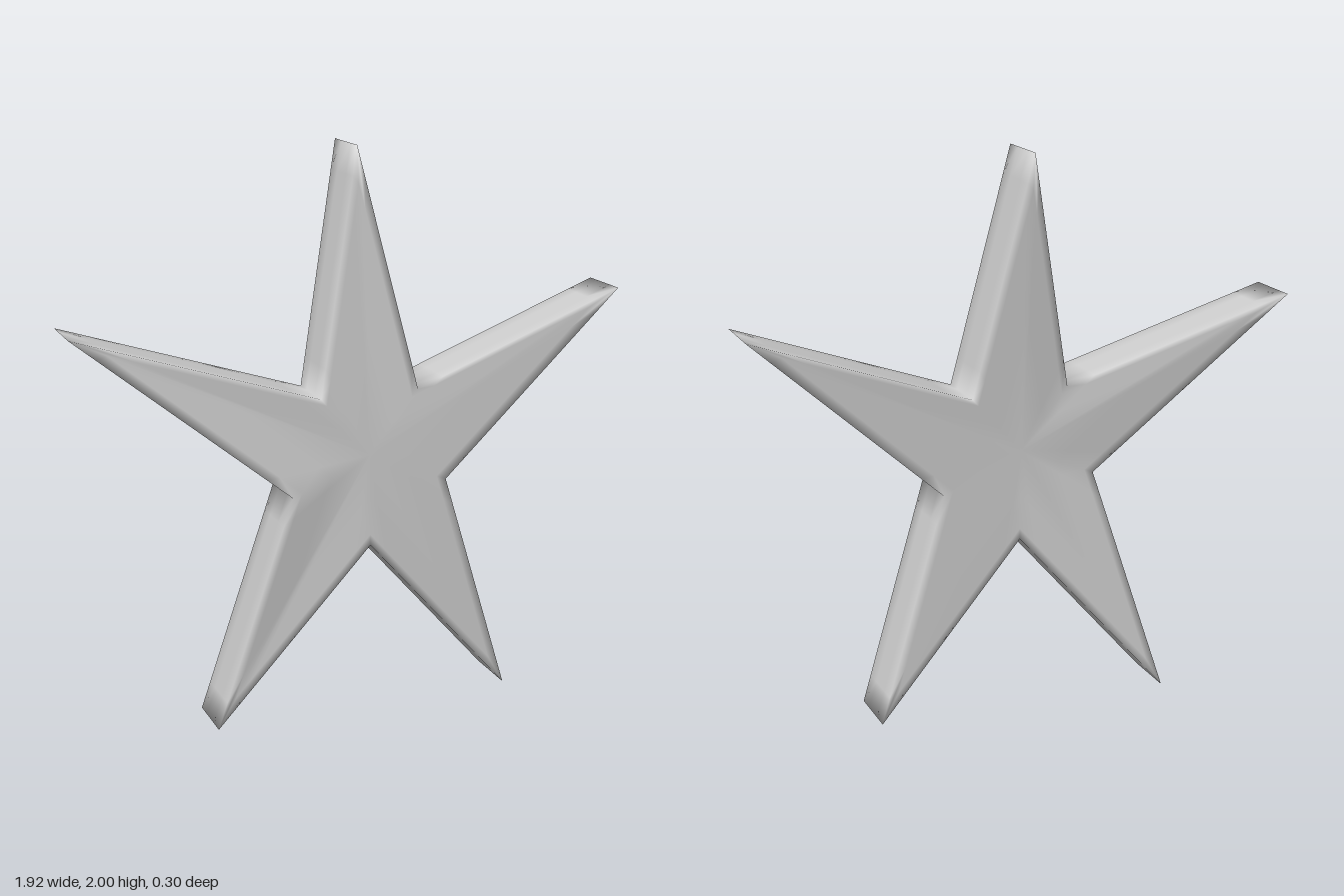
import * as THREE from 'three';

// Corners of the star, counterclockwise from the top tip: x, y, front z
const CORNERS = [
  [0.005, 2.0, 0.065], [-0.15, 1.18, 0.13],
  [-0.965, 1.435, 0.035], [-0.255, 0.85, 0.135],
  [-0.505, 0.005, 0.045], [0.025, 0.645, 0.14],
  [0.55, 0.04, 0.145], [0.305, 0.85, 0.145],
  [0.96, 1.468, 0.148], [0.2, 1.18, 0.135],
].map((p) => new THREE.Vector3(...p));
const CENTRE = new THREE.Vector3(0.02, 0.97, 0.14);
const DEPTH = 0.188;

// Rings from the front centre, around the rim, to the back centre:
// scale about the centre, and fraction of the depth
const RINGS = [
  [0.5, 0], [0.88, 0], [1, 0], [1, 0.3], [1, 0.7], [1, 1], [0.88, 1], [0.5, 1],
];

function starGeometry() {
  // Extra points along each edge keep the soft shading close to the corners
  const outline = CORNERS.flatMap((a, i) => {
    const b = CORNERS[(i + 1) % CORNERS.length];
    return [0, 0.12, 0.5, 0.88].map((t) => a.clone().lerp(b, t));
  });
  const n = outline.length;
  const positions = [];
  const index = [];
  for (const [scale, back] of RINGS) {
    for (const p of outline) {
      const v = CENTRE.clone().lerp(p, scale);
      positions.push(v.x, v.y, v.z - back * DEPTH);
    }
  }
  const front = RINGS.length * n;
  positions.push(CENTRE.x, CENTRE.y, CENTRE.z);
  positions.push(CENTRE.x, CENTRE.y, CENTRE.z - DEPTH);

  const last = (RINGS.length - 1) * n;
  for (let i = 0; i < n; i++) {
    const j = (i + 1) % n;
    index.push(front, i, j, front + 1, last + j, last + i);
    for (let r = 0; r < last; r += n) {
      index.push(r + i, r + n + i, r + n + j, r + i, r + n + j, r + j);
    }
  }
  const geometry = new THREE.BufferGeometry();
  geometry.setAttribute('position', new THREE.Float32BufferAttribute(positions, 3));
  geometry.setIndex(index);
  geometry.computeVertexNormals();
  return geometry;
}

export function createModel() {
  const group = new THREE.Group();
  group.name = 'starModel';
  const star = new THREE.Mesh(
    starGeometry(),
    new THREE.MeshStandardMaterial({ color: 0xcccccc }),
  );
  star.name = 'star';
  group.add(star);
  return group;
}
